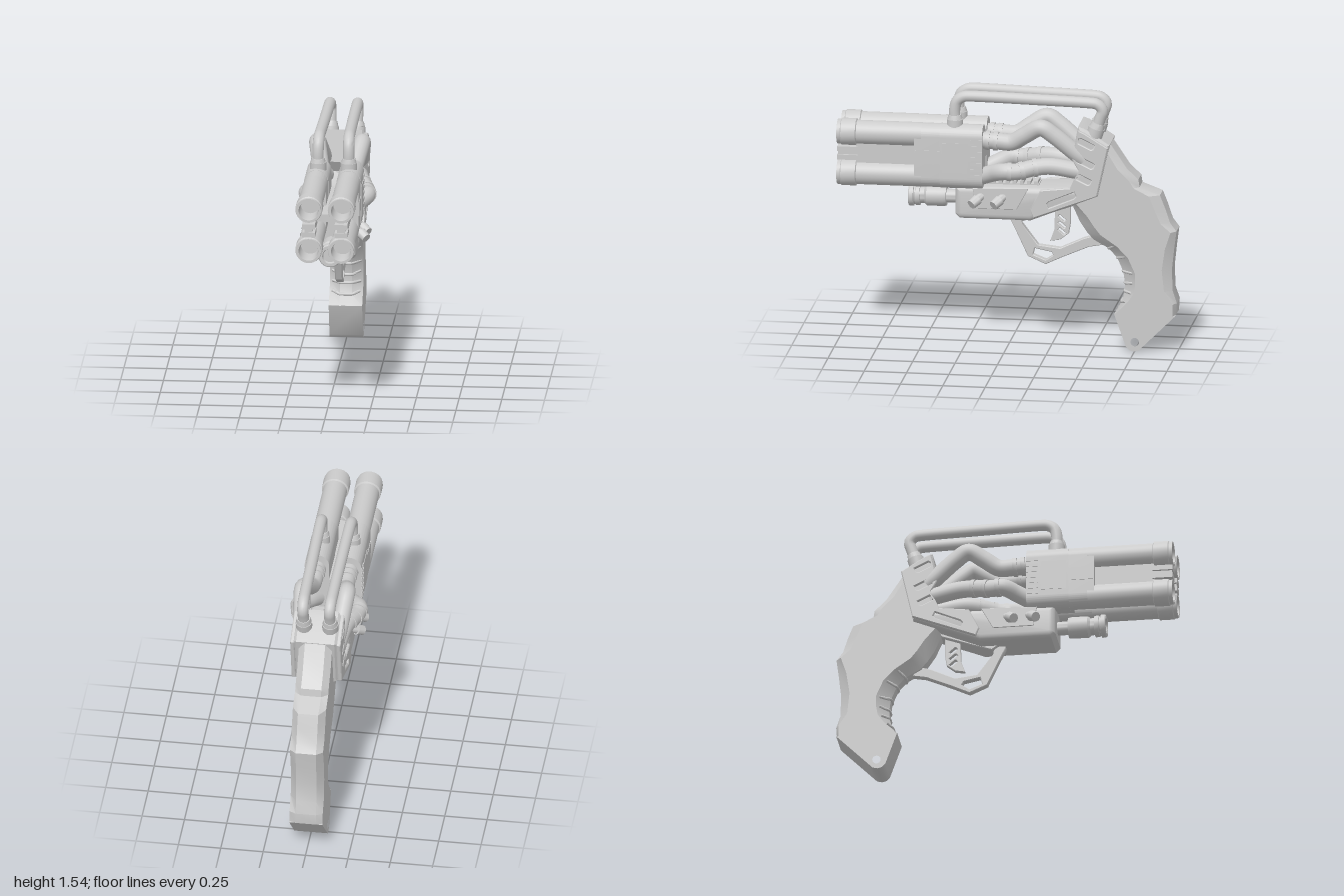
import * as THREE from 'three';
import { toCreasedNormals } from 'three/addons/utils/BufferGeometryUtils.js';

const mat = new THREE.MeshStandardMaterial({ color: 0xcccccc });

export function createModel() {
  const model = new THREE.Group();

  const add = (name, geo, x = 0, y = 0, z = 0, crease = 0.6) => {
    const mesh = new THREE.Mesh(toCreasedNormals(geo, crease), mat);
    mesh.name = name;
    mesh.position.set(x, y, z);
    model.add(mesh);
    return mesh;
  };
  const box = (name, w, h, d, x, y, z) => add(name, new THREE.BoxGeometry(w, h, d), x, y, z);
  const toShape = (pts) => new THREE.Shape(pts.map(([a, b]) => new THREE.Vector2(a, b)));

  // Side profile of (z, y) points, extruded across x and centred
  const plate = (name, pts, width, bevel = 0.005, holes = [], x = 0) => {
    const shape = toShape(pts);
    shape.holes.push(...holes);
    const geo = new THREE.ExtrudeGeometry(shape, {
      depth: width - 2 * bevel, bevelEnabled: bevel > 0, bevelSize: bevel, bevelThickness: bevel,
      bevelOffset: -bevel, bevelSegments: bevel > 0.02 ? 4 : 1, curveSegments: 16,
    });
    geo.translate(0, 0, -width / 2 + bevel).rotateY(-Math.PI / 2);
    return add(name, geo, x);
  };
  // Turned part along z from (radius, z) points, listed back to front
  const turned = (name, pts, x, y, seg = 32) => {
    const geo = new THREE.LatheGeometry(pts.map(([r, z]) => new THREE.Vector2(r, z)), seg);
    return add(name, geo.rotateX(Math.PI / 2), x, y, 0);
  };
  const rod = (name, a, b, r0, r1 = r0) => {
    const A = new THREE.Vector3(...a), B = new THREE.Vector3(...b);
    const mesh = add(name, new THREE.CylinderGeometry(r1, r0, A.distanceTo(B), 24));
    mesh.position.copy(A).lerp(B, 0.5);
    mesh.quaternion.setFromUnitVectors(new THREE.Vector3(0, 1, 0), B.sub(A).normalize());
    return mesh;
  };
  const tube = (name, pts, r, tension = 0.5, steps = 60) => {
    const curve = new THREE.CatmullRomCurve3(pts.map((p) => new THREE.Vector3(...p)), false, 'catmullrom', tension);
    add(name, new THREE.TubeGeometry(curve, steps, r, 16), 0, 0, 0, 1);
    return curve;
  };
  const collar = (name, curve, t, len, r) => {
    const p = curve.getPointAt(t), d = curve.getTangentAt(t).multiplyScalar(len / 2);
    rod(name, p.clone().sub(d).toArray(), p.clone().add(d).toArray(), r);
  };
  const slot = (z, y, len, h, angle) => {
    const c = Math.cos(angle), s = Math.sin(angle);
    const corners = [[-len, -h * 0.5], [-len * 0.8, -h], [len, -h], [len, h * 0.5], [len * 0.8, h], [-len, h]];
    return toShape(corners.map(([a, b]) => [z + (a * c - b * s) / 2, y + (a * s + b * c) / 2]));
  };

  for (const s of [1, -1]) {
    // Four barrels with hollow muzzles
    for (const y of [1.27, 1.025]) {
      turned('barrel', [[0.07, 0.5], [0.07, 0.885], [0.079, 0.89], [0.079, 0.975], [0.073, 0.98], [0.073, 1],
        [0.058, 1], [0.055, 0.985], [0.055, 0.86], [0, 0.86]], s * 0.095, y);
    }
    // Barrel housing lobe and its front seam
    const lobe = (name, r, z0, z1) => {
      const shape = new THREE.Shape();
      shape.absarc(0, 1.27, r, 0, Math.PI, false);
      shape.absarc(0, 1.025, r, Math.PI, Math.PI * 2, false);
      add(name, new THREE.ExtrudeGeometry(shape, { depth: z1 - z0, bevelEnabled: false, curveSegments: 20 }),
        s * 0.095, 0, z0);
    };
    lobe('housing', 0.071, 0.14, 0.39);
    lobe('housingFront', 0.069, 0.39, 0.54);
    box('housingPanel', 0.01, 0.08, 0.15, s * 0.163, 1.15, 0.46);
    box('housingPanel', 0.01, 0.18, 0.15, s * 0.164, 1.15, 0.3);
    for (let i = 0; i < 7; i++) box('gripTooth', 0.02, 0.018, 0.07, s * 0.16, 1.045 + i * 0.035, 0.175);

    // Spacers and muzzle clamps between upper and lower barrels
    box('barrelSpacer', 0.05, 0.12, 0.36, s * 0.095, 1.147, 0.71);
    for (const y of [1.122, 1.172]) box('muzzleClamp', 0.075, 0.03, 0.12, s * 0.095, y, 0.94);
    box('clampCore', 0.045, 0.08, 0.11, s * 0.095, 1.147, 0.94);

    // Side pipes with couplings
    const upper = tube('upperPipe', [[s * 0.095, 1.25, 0.15], [s * 0.095, 1.245, 0.05], [s * 0.1, 1.245, -0.03],
      [s * 0.115, 1.295, -0.11], [s * 0.13, 1.345, -0.2], [s * 0.125, 1.3, -0.28], [s * 0.11, 1.2, -0.4],
      [s * 0.1, 1.16, -0.45]], 0.05);
    const lower = tube('lowerPipe', [[s * 0.095, 1.03, 0.15], [s * 0.13, 1.06, 0.08], [s * 0.172, 1.083, 0.01],
      [s * 0.165, 1.085, -0.07], [s * 0.135, 1.105, -0.17], [s * 0.115, 1.11, -0.27], [s * 0.1, 1.085, -0.42]], 0.05);
    for (const t of [0.05, 0.12]) collar('pipeCollar', upper, t, 0.025, 0.056);
    for (const t of [0.33, 0.45, 0.58]) collar('pipeCollar', lower, t, 0.025, 0.055);

    // Top rail tube with stepped feet
    tube('topRail', [[s * 0.09, 1.33, 0.31], [s * 0.09, 1.42, 0.312], [s * 0.089, 1.475, 0.3], [s * 0.088, 1.503, 0.265],
      [s * 0.087, 1.51, 0.2], [s * 0.083, 1.503, -0.15], [s * 0.081, 1.495, -0.48], [s * 0.08, 1.483, -0.535],
      [s * 0.079, 1.45, -0.56], [s * 0.078, 1.4, -0.545], [s * 0.077, 1.29, -0.51]], 0.033, 0.4, 90);
    rod('railFoot', [s * 0.09, 1.32, 0.31], [s * 0.09, 1.37, 0.31], 0.048);
    rod('railFootCap', [s * 0.09, 1.37, 0.31], [s * 0.09, 1.395, 0.311], 0.045, 0.038);
    rod('railFoot', [s * 0.077, 1.28, -0.505], [s * 0.078, 1.345, -0.525], 0.048);
    rod('railFootCap', [s * 0.078, 1.345, -0.525], [s * 0.078, 1.375, -0.535], 0.045, 0.038);

    // Angled side pegs
    for (const z of [0.14, 0.01]) {
      rod('peg', [s * 0.11, 0.925, z], [s * 0.17, 0.89, z + 0.045], 0.024);
      rod('pegHead', [s * 0.15, 0.902, z + 0.03], [s * 0.185, 0.878, z + 0.06], 0.032, 0.028);
    }

    // Slotted side plate of the rear bracket
    plate('bracketSide', [[-0.425, 1.34], [-0.46, 1.325], [-0.6, 1.24], [-0.535, 0.945], [-0.16, 0.8], [-0.14, 0.85],
      [-0.2, 0.97], [-0.375, 0.99], [-0.425, 1.1], [-0.385, 1.17]], 0.025, 0.005,
    [slot(-0.47, 1.26, 0.1, 0.035, 0.45), slot(-0.47, 1.145, 0.1, 0.035, 0.45),
      slot(-0.455, 1.045, 0.09, 0.035, 0.45), slot(-0.325, 0.915, 0.18, 0.035, -0.4)], s * 0.136);
    plate('bodySide', [[0.2, 0.965], [0.18, 0.845], [-0.06, 0.845], [-0.09, 0.9], [-0.13, 0.975]], 0.012, 0.003, [], s * 0.132);
  }
  box('centreWeb', 0.14, 0.045, 0.59, 0, 1.15, 0.435);
  box('housingBridge', 0.1, 0.06, 0.26, 0, 1.02, 0.27);

  // Lower body and rear bracket core
  plate('lowerBody', [[0.305, 0.97], [0.305, 0.8], [0.28, 0.775], [-0.14, 0.775], [-0.535, 0.935], [-0.54, 1.0],
    [-0.37, 0.985], [-0.23, 0.975]], 0.268, 0.035);
  plate('bracket', [[-0.42, 1.357], [-0.455, 1.345], [-0.605, 1.25], [-0.535, 0.94], [-0.38, 0.92], [-0.385, 1.0],
    [-0.43, 1.1], [-0.385, 1.17]], 0.265, 0.02);
  box('ribRail', 0.1, 0.02, 0.3, 0, 0.97, -0.03);
  for (let i = 0; i < 7; i++) box('railRib', 0.1, 0.025, 0.022, 0, 0.985, 0.09 - i * 0.042);

  // Lamp under the barrels
  turned('lamp', [[0.04, 0.28], [0.04, 0.37], [0.06, 0.37], [0.063, 0.39], [0.063, 0.485], [0.05, 0.5], [0.05, 0.525],
    [0.063, 0.525], [0.063, 0.55], [0.058, 0.553], [0.058, 0.56], [0.068, 0.563], [0.068, 0.585], [0.063, 0.592],
    [0.045, 0.592], [0.04, 0.575], [0, 0.575]], 0, 0.878);

  // Grip rows: front z, y; side z, y; back z, y; depth of the rear chamfer
  const rows = [
    [-0.45, 1.25, -0.47, 1.25, -0.6, 1.25, 0.04], [-0.42, 1.05, -0.44, 1.06, -0.7, 1.1, 0.05],
    [-0.375, 0.86, -0.4, 0.89, -0.768, 1.035, 0.05], [-0.42, 0.76, -0.47, 0.81, -0.775, 0.99, 0.03],
    [-0.46, 0.7, -0.51, 0.75, -0.895, 0.945, 0.06], [-0.5, 0.655, -0.55, 0.7, -0.925, 0.87, 0.06],
    [-0.59, 0.605, -0.645, 0.635, -0.955, 0.78, 0.05], [-0.64, 0.55, -0.71, 0.57, -0.993, 0.73, 0.03],
    [-0.675, 0.47, -0.755, 0.47, -0.98, 0.63, 0.05], [-0.685, 0.4, -0.755, 0.41, -0.966, 0.5, 0.055],
    [-0.685, 0.35, -0.745, 0.35, -0.97, 0.37, 0.045], [-0.665, 0.285, -0.71, 0.3, -0.995, 0.295, 0.02],
    [-0.63, 0.224, -0.635, 0.224, -0.99, 0.224, 0.015],
  ];
  const pos = [], idx = [], n = 8;
  rows.forEach(([fz, fy, sz, sy, bz, by, c], i) => {
    const half = [[0.035, fy, fz], [0.098, sy, sz], [0.098, by, bz + c], [0.06, by, bz]];
    const loop = [...half, ...half.slice().reverse().map(([x, y, z]) => [-x, y, z])];
    pos.push(...loop.flat());
    for (let j = 0; i > 0 && j < n; j++) {
      const k = (j + 1) % n, a = (i - 1) * n + j, b = (i - 1) * n + k, d = i * n + k, e = i * n + j;
      idx.push(e, d, a, d, b, a);
    }
  });
  const grip = new THREE.BufferGeometry();
  grip.setAttribute('position', new THREE.Float32BufferAttribute(pos, 3));
  grip.setIndex(idx);
  add('grip', grip, 0, 0, 0, 0.5);

  // Finger ridges on the front of the grip
  for (let i = 6; i < 12; i++) {
    const [fz, fy, sz, sy] = rows[i];
    tube('fingerRidge', [[-0.08, sy, sz + 0.015], [-0.035, fy, fz], [0.035, fy, fz], [0.08, sy, sz + 0.015]], 0.009, 0.1, 16);
  }

  // Pommel with a lanyard hole
  const eye = new THREE.Path();
  eye.absarc(-0.752, 0.06, 0.025, 0, Math.PI * 2, true);
  plate('pommel', [[-0.63, 0.225], [-0.7, 0.03], [-0.72, 0.01], [-0.745, 0.003], [-0.775, 0.01], [-0.795, 0.03],
    [-0.99, 0.225]], 0.196, 0, [eye]);

  // Trigger guard, trigger and its mount
  plate('triggerGuard', [[0, 0.79], [0, 0.765], [-0.04, 0.685], [-0.11, 0.535], [-0.215, 0.49], [-0.31, 0.535],
    [-0.47, 0.605], [-0.55, 0.62], [-0.52, 0.68], [-0.44, 0.655], [-0.3, 0.59], [-0.17, 0.605], [-0.075, 0.73],
    [-0.065, 0.79]], 0.044, 0.004, [toShape([[-0.15, 0.585], [-0.25, 0.565], [-0.26, 0.545], [-0.215, 0.515], [-0.14, 0.545]])]);
  plate('trigger', [[-0.27, 0.84], [-0.36, 0.87], [-0.36, 0.74], [-0.35, 0.68], [-0.3, 0.64], [-0.24, 0.63],
    [-0.265, 0.7]], 0.03, 0.003, [0, 1, 2].map((i) => slot(-0.31, 0.69 + i * 0.04, 0.05, 0.018, 0.7)));
  plate('triggerMount', [[-0.02, 0.79], [-0.08, 0.75], [-0.16, 0.775], [-0.4, 0.86], [-0.4, 0.9], [-0.1, 0.85]], 0.08);

  return model;
}
